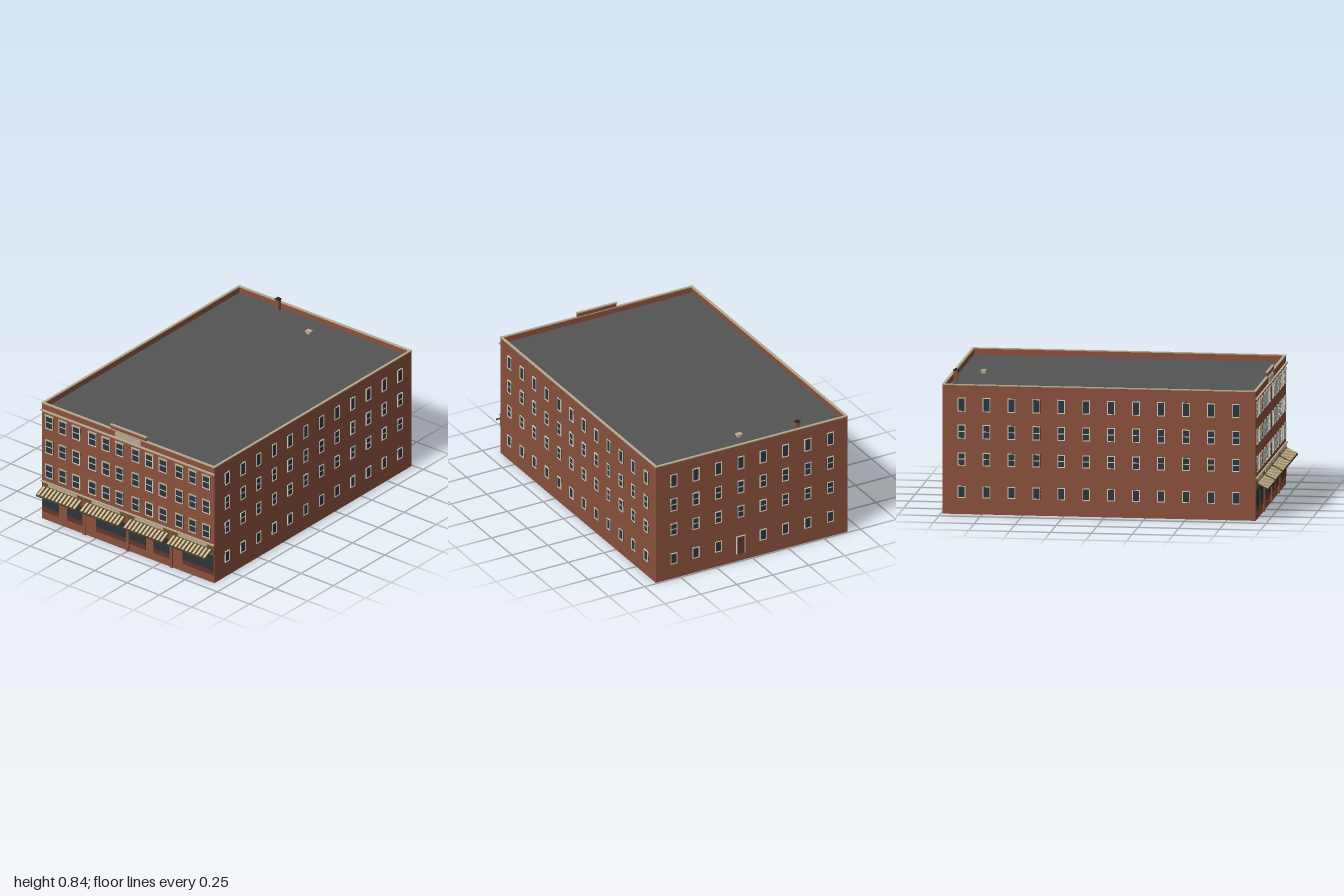
import * as THREE from 'three';
import { mergeGeometries } from 'three/addons/utils/BufferGeometryUtils.js';

const mat = (name, color) => Object.assign(new THREE.MeshStandardMaterial({ color }), { name });

export function createModel() {
  const brick = mat('brick', 0x8a503c);
  const darkBrick = mat('darkBrick', 0x63362c);
  const roofGrey = mat('roofGrey', 0x545454);
  const stone = mat('stone', 0xb6aa8f);
  const frameWhite = mat('frameWhite', 0xd0cbbd);
  const glass = mat('glass', 0x2c353c);
  const fasciaBrown = mat('fasciaBrown', 0x6a5233);
  const canvasDark = mat('canvasDark', 0x4d3e28);
  const canvasCream = mat('canvasCream', 0xc9b994);
  const black = mat('black', 0x2a2a2a);

  const W = 0.667, ZF = 0.925, ZB = -0.99, ZM = (ZF + ZB) / 2, D = ZF - ZB;
  const model = new THREE.Group();
  model.name = 'building';

  // box from its min and max corners
  const box = (x0, x1, y0, y1, z0, z1) =>
    new THREE.BoxGeometry(x1 - x0, y1 - y0, z1 - z0)
      .translate((x0 + x1) / 2, (y0 + y1) / 2, (z0 + z1) / 2);
  const add = (parent, name, material, ...geos) => {
    const mesh = new THREE.Mesh(geos.length > 1 ? mergeGeometries(geos) : geos[0], material);
    mesh.name = name;
    parent.add(mesh);
    return mesh;
  };

  // main block, flat roof and parapet
  add(model, 'walls', brick, box(-W, W, 0, 0.75, ZB, ZF));
  add(model, 'roof', roofGrey, box(-W + 0.01, W - 0.01, 0.748, 0.755, ZB + 0.01, ZF - 0.01));
  const ring = (t, y0, y1, o) => [
    box(-W - o, W + o, y0, y1, ZF - t, ZF + o),
    box(-W - o, W + o, y0, y1, ZB - o, ZB + t),
    box(-W - o, -W + t, y0, y1, ZB + t, ZF - t),
    box(W - t, W + o, y0, y1, ZB + t, ZF - t),
  ];
  add(model, 'parapet', brick, ...ring(0.011, 0.75, 0.791, 0));
  add(model, 'parapetCap', stone, ...ring(0.013, 0.791, 0.797, 0.003));
  add(model, 'centreParapet', brick, box(-0.137, 0.137, 0.797, 0.82, ZF - 0.011, ZF));
  add(model, 'centreParapetCap', stone, box(-0.14, 0.14, 0.82, 0.825, ZF - 0.013, ZF + 0.003));

  // rooftop chimney and vent
  add(model, 'chimney', brick, box(-0.35, -0.325, 0.75, 0.826, -0.966, -0.942));
  add(model, 'chimneyCap', black, box(-0.353, -0.322, 0.826, 0.831, -0.969, -0.939),
    box(-0.345, -0.33, 0.831, 0.838, -0.961, -0.947));
  add(model, 'roofVent', stone, box(-0.012, 0.012, 0.75, 0.768, -0.842, -0.818),
    box(-0.019, 0.019, 0.768, 0.776, -0.847, -0.815));

  // each facade group has local x along the wall and local z outward
  const facade = (name, x, z, turn) => {
    const g = new THREE.Group();
    g.name = name;
    g.position.set(x, 0, z);
    g.rotation.y = turn;
    model.add(g);
    return g;
  };

  // a grid of framed windows; rows are [bottom, top, hasRail]
  const windows = (parent, centres, rows, w, t, skip = () => false) => {
    const panes = [], frames = [];
    rows.forEach(([y0, y1, rail], r) => centres.forEach((c, i) => {
      if (skip(r, i)) return;
      const a = c - w / 2, b = c + w / 2, d = 0.007;
      panes.push(box(a, b, y0, y1, -0.002, 0.003));
      frames.push(box(a, a + t, y0, y1, 0, d), box(b - t, b, y0, y1, 0, d),
        box(a, b, y1 - t, y1, 0, d), box(a, b, y0, y0 + t, 0, d));
      const m = (y0 + y1) / 2;
      if (rail) frames.push(box(a, b, m - t / 2, m + t / 2, 0, 0.005));
    }));
    add(parent, 'windowPanes', glass, ...panes);
    add(parent, 'windowFrames', frameWhite, ...frames);
  };

  // front windows in four groups of three
  const front = facade('frontFacade', 0, ZF, 0);
  const bays = [-0.505, -0.17, 0.166, 0.502];
  const frontCols = bays.flatMap(c => [c - 0.105, c, c + 0.105]);
  windows(front, frontCols, [[0.294, 0.385, 1], [0.462, 0.552, 1], [0.63, 0.722, 1]], 0.06, 0.005);
  add(front, 'lintels', stone, ...frontCols.flatMap(c => [
    box(c - 0.033, c + 0.033, 0.715, 0.724, 0, 0.009),
    box(c - 0.03, c + 0.03, 0.381, 0.387, 0, 0.008),
    box(c - 0.03, c + 0.03, 0.549, 0.554, 0, 0.008)]));
  add(front, 'cornice', stone, box(-W - 0.006, W + 0.006, 0.744, 0.752, 0, 0.013));
  add(front, 'nameBoard', stone, box(-0.098, 0.098, 0.755, 0.787, 0, 0.006));

  // shopfront fascia, sign boards and pilasters
  add(front, 'shopCornice', stone, box(-W - 0.003, W + 0.003, 0.257, 0.264, 0, 0.011));
  add(front, 'shopFascia', fasciaBrown, box(-W, W, 0.187, 0.257, 0, 0.004));
  add(front, 'signBoards', stone, ...bays.map(c => box(c - 0.11, c + 0.11, 0.234, 0.251, 0, 0.008)));
  add(front, 'pilasters', brick, ...[-0.336, 0, 0.336].map(c => box(c - 0.01, c + 0.01, 0, 0.257, 0, 0.009)));

  // shop glass: a transom over each bay, panes either side of the doorway
  const shops = [
    { span: [-0.66, -0.345], panes: [[-0.66, -0.535], [-0.47, -0.345]] },
    { span: [-0.315, -0.01], panes: [[-0.248, -0.01]] },
    { span: [0.01, 0.328], panes: [[0.01, 0.137], [0.2, 0.328]] },
    { span: [0.356, 0.66], panes: [[0.425, 0.66]] },
  ];
  const panes = shops.flatMap(s => s.panes);
  add(front, 'shopGlass', glass,
    ...shops.map(s => box(s.span[0], s.span[1], 0.165, 0.187, 0, 0.004)),
    ...panes.map(([a, b]) => box(a, b, 0.084, 0.165, 0, 0.004)));
  add(front, 'shopBulkheads', darkBrick, ...panes.map(([a, b]) => box(a, b, 0.053, 0.084, 0, 0.004)));

  // striped awnings on a slope
  [-0.503, -0.169, 0.169, 0.503].forEach(c => {
    const awning = new THREE.Group();
    awning.name = 'awning';
    awning.position.set(c, 0.229, 0.005);
    front.add(awning);
    const half = 0.153, n = 11, pitch = 2 * half / n, len = 0.078, tilt = 0.47;
    add(awning, 'awningCanvas', canvasDark, box(-half, half, -0.002, 0.002, 0, len)).rotation.x = tilt;
    const stripes = Array.from({ length: n }, (_, i) => {
      const x = -half + (i + 0.5) * pitch;
      return box(x - pitch * 0.27, x + pitch * 0.27, 0.001, 0.004, 0.004, len - 0.004);
    });
    add(awning, 'awningStripes', canvasCream, ...stripes).rotation.x = tilt;
    add(awning, 'awningValance', canvasDark, box(-half, half, -0.043, -0.034, 0.066, 0.07));
  });

  // side windows, mirrored
  const rows = [[0.1, 0.174, 0], [0.298, 0.378, 1], [0.464, 0.55, 1], [0.63, 0.716, 0]];
  const sideZ = Array.from({ length: 12 }, (_, i) => 0.804 - i * 0.1525);
  windows(facade('rightWall', W, 0, Math.PI / 2), sideZ.map(z => -z), rows, 0.047, 0.005);
  windows(facade('leftWall', -W, 0, -Math.PI / 2), sideZ, rows, 0.047, 0.005);

  // back windows, with a service door in one ground-floor column
  const back = facade('backWall', 0, ZB, Math.PI);
  const backCols = Array.from({ length: 8 }, (_, i) => (i - 3.5) * 0.1555);
  windows(back, backCols, rows, 0.047, 0.005, (r, i) => r === 0 && i === 3);
  const d = backCols[3];
  add(back, 'backDoor', darkBrick, box(d - 0.025, d + 0.025, 0.05, 0.165, 0, 0.004));
  add(back, 'backDoorFrame', frameWhite,
    box(d - 0.03, d - 0.025, 0.05, 0.17, 0, 0.007),
    box(d + 0.025, d + 0.03, 0.05, 0.17, 0, 0.007),
    box(d - 0.03, d + 0.03, 0.165, 0.17, 0, 0.007));

  return model;
}
